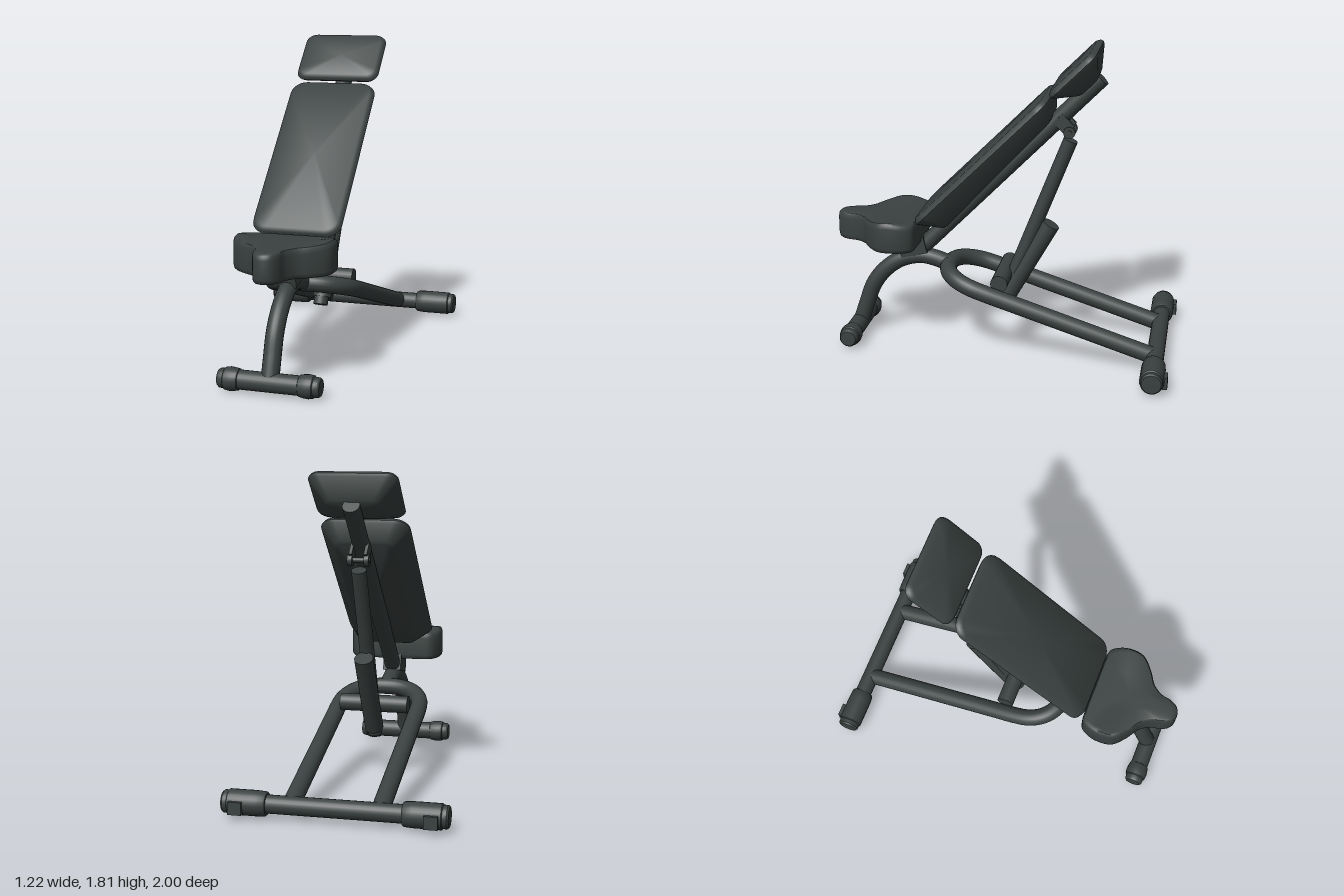
import * as THREE from 'three';
import { toCreasedNormals } from 'three/addons/utils/BufferGeometryUtils.js';

const V = (x, y, z) => new THREE.Vector3(x, y, z);

// Joins cross-section loops (counter-clockwise, rising along z) and closes both ends
function loft(loops) {
  const n = loops[0].length, pos = [], idx = [];
  for (const loop of loops) for (const p of loop) pos.push(p.x, p.y, p.z);
  for (let i = 0; i < loops.length - 1; i++) {
    for (let j = 0; j < n; j++) {
      const a = i * n + j, b = i * n + (j + 1) % n;
      idx.push(a, b, b + n, a, b + n, a + n);
    }
  }
  [0, loops.length - 1].forEach((row, end) => {
    const c = V(0, 0, 0);
    loops[row].forEach((p) => c.addScaledVector(p, 1 / n));
    const centre = pos.length / 3;
    pos.push(c.x, c.y, c.z);
    for (let j = 0; j < n; j++) {
      const a = row * n + j, b = row * n + (j + 1) % n;
      if (end) idx.push(centre, a, b); else idx.push(centre, b, a);
    }
  });
  const g = new THREE.BufferGeometry();
  g.setAttribute('position', new THREE.Float32BufferAttribute(pos, 3));
  g.setIndex(idx);
  return toCreasedNormals(g, 0.75);
}

// Rounded rectangle loop; zAt gives the depth at each height
function roundedLoop(w, h, r, zAt) {
  const pts = [];
  [[1, 1], [-1, 1], [-1, -1], [1, -1]].forEach(([sx, sy], q) => {
    for (let k = 0; k <= 6; k++) {
      const a = (q + k / 6) * Math.PI / 2;
      const y = sy * (h - r) + r * Math.sin(a);
      pts.push(V(sx * (w - r) + r * Math.cos(a), y, zAt(y)));
    }
  });
  return pts;
}

// Cushion with a rounded front rim and a back that tapers inwards
function cushion(w, h, r, inset, depth, taper) {
  const back = (y) => -depth + taper * y / h;
  return loft([
    roundedLoop(w - inset - 0.015, h - inset - 0.015, r * 0.5, back),
    roundedLoop(w - inset, h - inset, r * 0.6, (y) => back(y) + 0.008),
    roundedLoop(w - 0.008, h - 0.008, r, () => -0.045),
    roundedLoop(w, h, r, () => -0.03),
    roundedLoop(w - 0.006, h - 0.006, r, () => -0.012),
    roundedLoop(w - 0.025, h - 0.025, r * 0.8, () => 0),
  ]);
}

// Seat: broad at the back, narrowing to a nose, with slightly raised sides
function seatGeometry() {
  const half = [[0.16, 0.49], [0.235, 0.5], [0.27, 0.55], [0.283, 0.62], [0.27, 0.7],
    [0.2, 0.77], [0.125, 0.82], [0.085, 0.88], [0.072, 0.94], [0.045, 0.985]];
  const outline = [V(0, -0.49, 0)];
  half.forEach(([x, z]) => outline.push(V(-x, -z, 0)));
  outline.push(V(0, -1, 0));
  half.slice().reverse().forEach(([x, z]) => outline.push(V(x, -z, 0)));
  const pts = new THREE.CatmullRomCurve3(outline, true).getPoints(88).slice(0, 88);
  const loop = (scale, y, swell) => pts.map((p) => {
    const z = -p.y;
    const rise = 0.022 * Math.exp(-(((z - 0.64) / 0.11) ** 2)) * scale;
    return V(p.x * scale, -(0.68 + (z - 0.68) * scale), y + swell * rise);
  });
  return loft([
    loop(0.95, 0.622, 0), loop(0.985, 0.63, 0), loop(1, 0.648, 0), loop(1, 0.75, 1),
    loop(0.985, 0.772, 1), loop(0.95, 0.783, 1), loop(0.88, 0.787, 0.9), loop(0.5, 0.788, 0.3),
  ]);
}

export function createModel() {
  const model = new THREE.Group();
  const mat = new THREE.MeshStandardMaterial({ color: 0x3a4140 });
  mat.name = 'charcoal';

  const add = (name, geometry, parent = model) => {
    const m = new THREE.Mesh(geometry, mat);
    m.name = name;
    parent.add(m);
    return m;
  };
  // Straight round bar between two points
  const bar = (name, a, b, r) => {
    const m = add(name, new THREE.CylinderGeometry(r, r, a.distanceTo(b), 24));
    m.position.copy(a).add(b).multiplyScalar(0.5);
    m.quaternion.setFromUnitVectors(V(0, 1, 0), b.clone().sub(a).normalize());
    return m;
  };
  // Turned cap lying along x; profile pairs are [radius, distance from the centre line]
  const cap = (name, profile, side, y, z) => {
    const pts = profile.map(([r, d]) => new THREE.Vector2(r, d));
    const m = add(name, toCreasedNormals(new THREE.LatheGeometry(pts, 24), 0.6));
    m.rotation.z = -side * Math.PI / 2;
    m.position.set(0, y, z);
  };

  // Padding
  const back = new THREE.Group();
  back.name = 'backrest';
  back.rotation.x = -Math.PI / 4;
  model.add(back);
  add('backPad', cushion(0.257, 0.537, 0.085, 0.08, 0.145, 0.022), back).position.set(0, 0.747, 0.926);
  add('headPad', cushion(0.25, 0.175, 0.06, 0.1, 0.14, 0), back).position.set(0, 1.483, 0.93);
  add('seat', seatGeometry()).rotation.x = -Math.PI / 2;

  // Spine behind the pads and the joint below the seat
  bar('spine', V(0, 0.53, 0.54), V(0, 1.64, -0.55), 0.048);
  const gusset = add('seatBracket', new THREE.BoxGeometry(0.11, 0.1, 0.16));
  gusset.position.set(0, 0.585, 0.545);
  gusset.rotation.x = 0.25;

  // Curved front leg
  const leg = new THREE.CatmullRomCurve3([
    V(0, 0.08, 0.885), V(0, 0.2, 0.845), V(0, 0.32, 0.8), V(0, 0.42, 0.725),
    V(0, 0.495, 0.62), V(0, 0.523, 0.5), V(0, 0.505, 0.4), V(0, 0.475, 0.32),
  ]);
  add('frontLeg', new THREE.TubeGeometry(leg, 40, 0.049, 20));

  // U-shaped rear frame sloping down to the back
  const slopeY = (z) => 0.087 + 0.317 * (z + 0.91);
  const path = [];
  const rail = (x, z) => path.push(V(x, slopeY(z), z));
  [-0.91, -0.6, -0.3, -0.05].forEach((z) => rail(-0.24, z));
  for (let i = 0; i <= 12; i++) {
    const a = Math.PI * (1 - i / 12);
    const c = Math.cos(a);
    rail(0.24 * Math.sign(c) * Math.abs(c) ** 0.85, 0.08 + 0.25 * Math.sin(a) ** 0.85);
  }
  [-0.05, -0.3, -0.6, -0.91].forEach((z) => rail(0.24, z));
  add('rearFrame', new THREE.TubeGeometry(new THREE.CatmullRomCurve3(path), 140, 0.049, 20));

  // Floor bars with end caps
  bar('frontFoot', V(-0.24, 0.072, 0.89), V(0.24, 0.072, 0.89), 0.053);
  bar('rearFoot', V(-0.5, 0.088, -0.915), V(0.5, 0.088, -0.915), 0.05);
  for (const s of [-1, 1]) {
    cap('frontFootCap', [[0.05, 0.165], [0.058, 0.17], [0.063, 0.195], [0.065, 0.22],
      [0.061, 0.245], [0.055, 0.25], [0.053, 0.275], [0.045, 0.285], [0, 0.287]], s, 0.072, 0.89);
    cap('rearFootCap', [[0.045, 0.365], [0.06, 0.366], [0.066, 0.375], [0.069, 0.42],
      [0.069, 0.572], [0.062, 0.577], [0.062, 0.6], [0.054, 0.61], [0, 0.611]], s, 0.088, -0.915);
    add('rearStop', new THREE.BoxGeometry(0.075, 0.07, 0.06)).position.set(s * 0.523, 0.075, -0.97);
  }

  // Adjustable support strut and its sleeve
  bar('strut', V(0, 0.27, 0.01), V(0, 1.275, -0.38), 0.042);
  bar('sleeve', V(0, 0.305, -0.015), V(0, 0.765, -0.272), 0.054);
  bar('strutCrossBar', V(-0.2, 0.447, 0), V(0.2, 0.447, 0), 0.05);

  // Fork and pin on the spine for the top of the strut
  for (const s of [-1, 1]) {
    const plate = add('forkPlate', new THREE.BoxGeometry(0.018, 0.1, 0.075));
    plate.position.set(s * 0.042, 1.375, -0.345);
    plate.rotation.x = Math.PI / 4;
    bar('forkEnd', V(s * 0.033, 1.33, -0.378), V(s * 0.06, 1.33, -0.378), 0.034);
  }
  bar('forkPin', V(-0.065, 1.33, -0.378), V(0.065, 1.33, -0.378), 0.015);

  return model;
}
